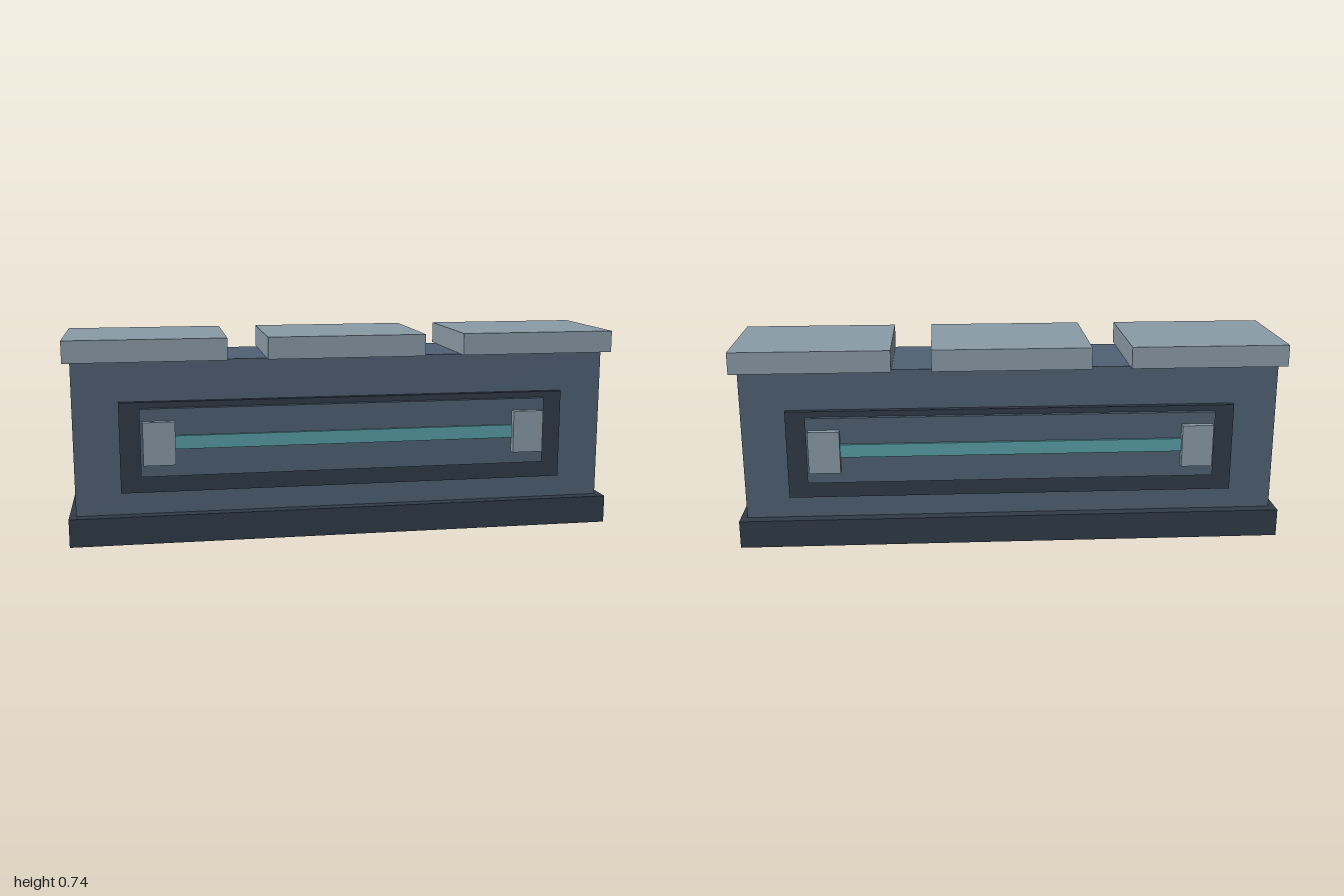
import * as THREE from 'three';

export function createModel() {
  const group = new THREE.Group();
  const mat = (color) => new THREE.MeshStandardMaterial({ color });
  const dark = mat(0x303c48);
  const slate = mat(0x506174);
  const pale = mat(0x8b9ca8);
  const teal = mat(0x58a0a8);

  // Box given by its extents along each axis
  function box(name, material, [x0, x1], [y0, y1], [z0, z1], parent = group) {
    const mesh = new THREE.Mesh(new THREE.BoxGeometry(x1 - x0, y1 - y0, z1 - z0), material);
    mesh.position.set((x0 + x1) / 2, (y0 + y1) / 2, (z0 + z1) / 2);
    mesh.name = name;
    parent.add(mesh);
  }

  // Plinth and wall
  box('base', dark, [-1, 1], [0, 0.102], [-0.225, 0.225]);
  box('wall', slate, [-0.976, 0.976], [0.102, 0.656], [-0.184, 0.184]);

  // Three capping blocks with gaps between them
  const caps = [['rightCap', -1, -0.43], ['middleCap', -0.287, 0.287], ['leftCap', 0.43, 1]];
  for (const [name, x0, x1] of caps) {
    box(name, pale, [x0, x1], [0.656, 0.735], [-0.225, 0.225]);
  }

  // Layered panel with a light strip held by two clamps, on both faces
  for (const side of ['front', 'back']) {
    const panel = new THREE.Group();
    panel.name = side + 'Panel';
    box('panelFrame', dark, [-0.815, 0.815], [0.185, 0.511], [0.184, 0.206], panel);
    box('panelPlate', slate, [-0.743, 0.743], [0.246, 0.49], [0.206, 0.223], panel);
    box('lightStrip', teal, [-0.62, 0.62], [0.345, 0.393], [0.223, 0.233], panel);
    box('rightClamp', pale, [-0.733, -0.62], [0.291, 0.446], [0.223, 0.249], panel);
    box('leftClamp', pale, [0.62, 0.733], [0.291, 0.446], [0.223, 0.249], panel);
    if (side === 'back') panel.rotation.y = Math.PI;
    group.add(panel);
  }

  return group;
}
